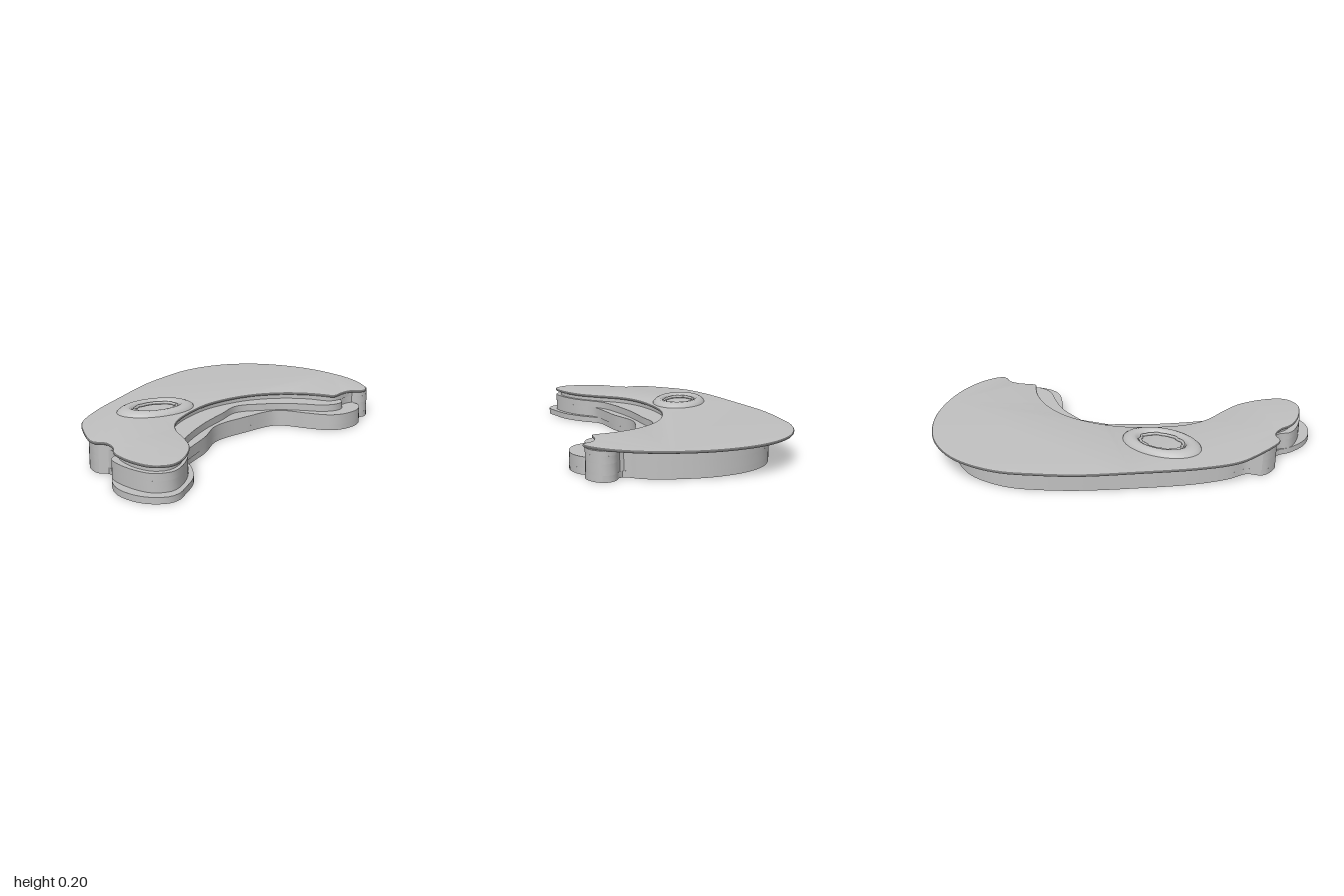
import * as THREE from 'three';
import { toCreasedNormals } from 'three/addons/utils/BufferGeometryUtils.js';

// Closed smooth outline given as [x, z] pairs
function outline(points, samples = 220) {
  const curve = new THREE.CatmullRomCurve3(
    points.map(([x, z]) => new THREE.Vector3(x, -z, 0)), true, 'centripetal');
  const pts = curve.getSpacedPoints(samples).slice(0, -1);
  return new THREE.Shape(pts.map(p => new THREE.Vector2(p.x, p.y)));
}

// Horizontal layer between two heights, optionally with a rounded rim
function layer(name, points, y0, y1, material, rim = 0) {
  const lip = rim ? 0.005 : 0;
  const geo = new THREE.ExtrudeGeometry(outline(points), {
    depth: y1 - y0 - 2 * lip, steps: 1, bevelEnabled: rim > 0,
    bevelSize: rim, bevelThickness: lip, bevelOffset: -rim, bevelSegments: 2
  });
  geo.rotateX(-Math.PI / 2);
  geo.translate(0, y0 + lip, 0);
  const mesh = new THREE.Mesh(toCreasedNormals(geo, 0.5), material);
  mesh.name = name;
  return mesh;
}

export function createModel() {
  const grey = new THREE.MeshStandardMaterial({ color: 0xc0c0c0 });
  grey.name = 'light grey';
  const model = new THREE.Group();
  model.name = 'curvedCase';

  // Overhanging top plate
  const plate = [
    [-0.97, 0.24], [-0.93, 0.06], [-0.87, -0.09], [-0.72, -0.25], [-0.45, -0.46],
    [-0.185, -0.65], [0.03, -0.76], [0.19, -0.825], [0.365, -0.847], [0.54, -0.82],
    [0.725, -0.715], [0.87, -0.54], [0.955, -0.345], [0.993, -0.1], [0.965, 0.08],
    [0.91, 0.18], [0.87, 0.197], [0.82, 0.165], [0.75, 0.165], [0.645, 0.2],
    [0.62, 0.165], [0.55, 0.08], [0.43, -0.01], [0.27, -0.07], [0.11, -0.08],
    [-0.08, -0.045], [-0.265, 0.05], [-0.425, 0.18], [-0.495, 0.3], [-0.53, 0.455],
    [-0.575, 0.59], [-0.69, 0.735], [-0.785, 0.79], [-0.88, 0.755], [-0.94, 0.62],
    [-0.95, 0.48], [-0.915, 0.39], [-0.92, 0.31], [-0.96, 0.278]
  ];
  model.add(layer('topPlate', plate, 0.16, 0.175, grey, 0.01));

  // Recessed back wall with a corner post at each end, shared by all body layers
  const back = [
    [-0.9, 0.31], [-0.945, 0.27], [-0.95, 0.2], [-0.925, 0.13], [-0.84, 0.1],
    [-0.78, 0], [-0.64, -0.15], [-0.37, -0.36], [-0.11, -0.54], [0.09, -0.645],
    [0.22, -0.695], [0.365, -0.71], [0.5, -0.69], [0.64, -0.61], [0.76, -0.47],
    [0.83, -0.31], [0.865, -0.12], [0.85, 0], [0.94, 0.02], [0.976, 0.07],
    [0.95, 0.14], [0.9, 0.18], [0.85, 0.175], [0.825, 0.15]
  ];
  // Front edges: deep step, middle step, and shallow step under the plate
  const deepFront = [
    [0.83, 0.21], [0.75, 0.295], [0.62, 0.325], [0.54, 0.3], [0.45, 0.2], [0.37, 0.09],
    [0.31, 0.052], [0.1, 0.075], [-0.14, 0.135], [-0.3, 0.28], [-0.5, 0.43]
  ];
  const middleFront = [
    [0.72, 0.17], [0.69, 0.225], [0.62, 0.245], [0.54, 0.215], [0.46, 0.14], [0.36, 0.06],
    [0.26, 0.015], [0.1, -0.03], [-0.06, 0.06], [-0.27, 0.19], [-0.5, 0.39]
  ];
  const shallowFront = [
    [0.65, 0.175], [0.55, 0.06], [0.43, -0.03], [0.27, -0.09], [0.11, -0.1],
    [-0.08, -0.065], [-0.28, 0.035], [-0.44, 0.17], [-0.52, 0.3]
  ];
  // Lower leg: wide foot, and the narrower leg above it
  const wideFoot = [
    [-0.53, 0.53], [-0.6, 0.67], [-0.71, 0.78], [-0.77, 0.83], [-0.84, 0.842],
    [-0.93, 0.79], [-0.985, 0.69], [-0.995, 0.58], [-0.95, 0.45], [-0.91, 0.4]
  ];
  const leg = [
    [-0.54, 0.47], [-0.59, 0.6], [-0.7, 0.735], [-0.785, 0.785], [-0.88, 0.755],
    [-0.945, 0.62], [-0.955, 0.46], [-0.9, 0.4]
  ];
  const slimLeg = [
    [-0.56, 0.455], [-0.61, 0.59], [-0.7, 0.71], [-0.785, 0.755], [-0.86, 0.73],
    [-0.915, 0.62], [-0.92, 0.48], [-0.89, 0.4]
  ];
  model.add(
    layer('basePlate', [...back, ...deepFront, ...wideFoot], 0, 0.035, grey),
    layer('lowerBody', [...back, ...deepFront, ...leg], 0.035, 0.095, grey),
    layer('middleBody', [...back, ...middleFront, ...leg], 0.095, 0.135, grey),
    layer('upperBody', [...back, ...shallowFront, ...slimLeg], 0.135, 0.162, grey)
  );

  // Raised oval ring on the top plate
  const badge = new THREE.Group();
  badge.name = 'ovalBadge';
  badge.position.set(-0.405, 0.172, -0.105);
  const profile = [[0.236, 0], [0.232, 0.01], [0.215, 0.022], [0.19, 0.031], [0.165, 0.03],
    [0.148, 0.022], [0.138, 0.004]].map(([r, y]) => new THREE.Vector2(r, y));
  const ringGeo = new THREE.LatheGeometry(profile, 64);
  ringGeo.scale(1, 1, 0.67);
  ringGeo.computeVertexNormals();
  const ringMaterial = grey.clone();
  ringMaterial.side = THREE.DoubleSide;
  const ring = new THREE.Mesh(ringGeo, ringMaterial);
  ring.name = 'ovalRing';
  badge.add(ring);

  // Ragged edge lining the inside of the ring
  const loop = [];
  for (let i = 0; i < 48; i++) {
    const a = i / 48 * Math.PI * 2, r = 0.128 + 0.006 * Math.sin(a * 11) * Math.cos(a * 3);
    loop.push(new THREE.Vector3(Math.cos(a) * r, 0.012, Math.sin(a) * r * 0.67));
  }
  const lining = new THREE.Mesh(new THREE.TubeGeometry(
    new THREE.CatmullRomCurve3(loop, true), 120, 0.009, 6, true), grey);
  lining.name = 'raggedLining';
  badge.add(lining);
  model.add(badge);
  return model;
}
